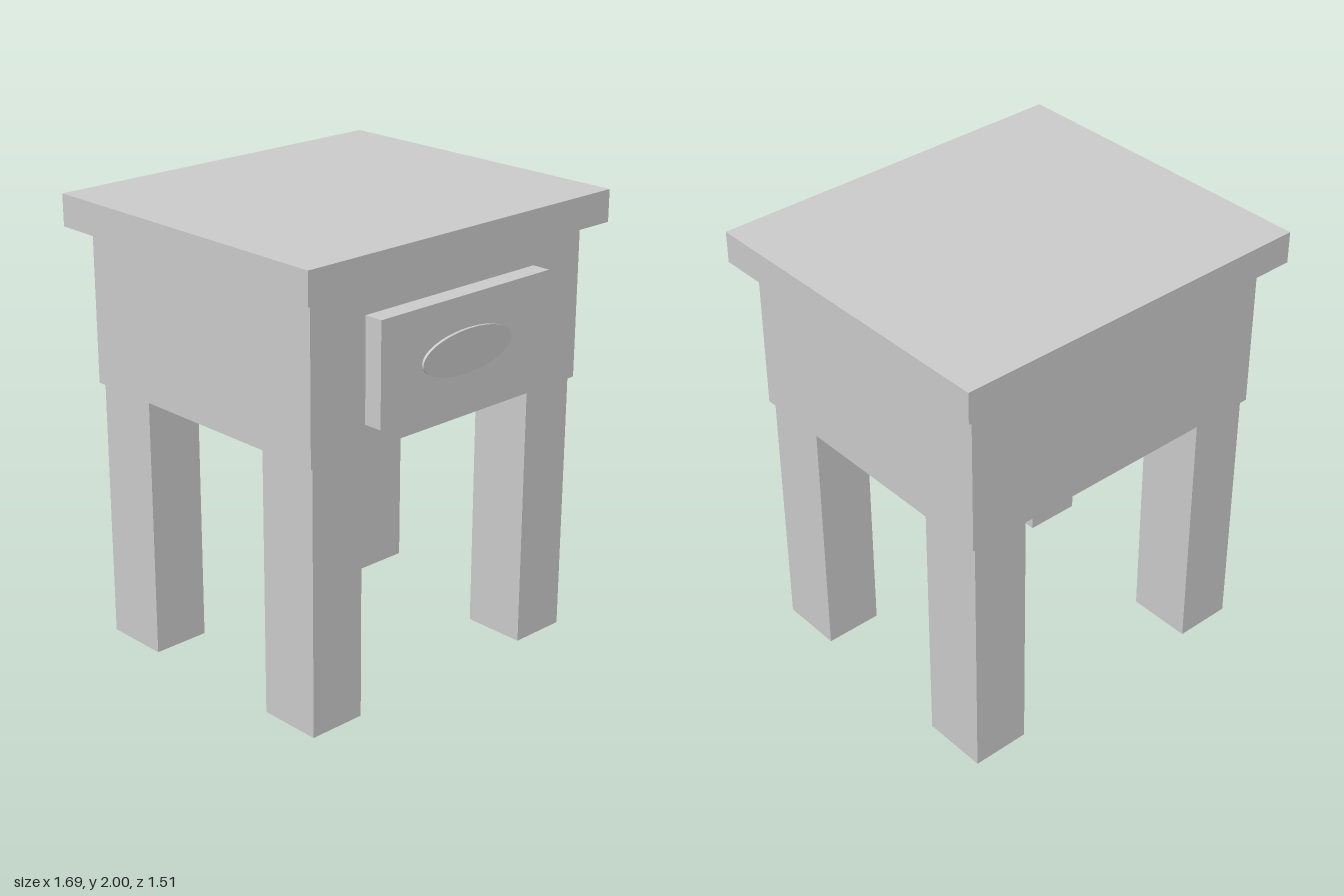
import * as THREE from 'three';

const material = new THREE.MeshStandardMaterial({ color: 0xcccccc });

// Box given by its lower and upper limits on each axis
function box(name, [x0, x1], [y0, y1], [z0, z1]) {
  const mesh = new THREE.Mesh(new THREE.BoxGeometry(x1 - x0, y1 - y0, z1 - z0), material);
  mesh.position.set((x0 + x1) / 2, (y0 + y1) / 2, (z0 + z1) / 2);
  mesh.name = name;
  return mesh;
}

export function createModel() {
  const table = new THREE.Group();
  table.name = 'bedsideTable';

  // Overhanging top, body and raised drawer front
  table.add(box('tableTop', [-0.845, 0.845], [1.86, 2], [-0.755, 0.738]));
  table.add(box('body', [-0.762, 0.762], [1.175, 1.86], [-0.672, 0.657]));
  table.add(box('drawerFront', [-0.477, 0.477], [1.285, 1.73], [0.657, 0.742]));

  // Four square legs
  for (const [side, xs] of [['Left', [0.48, 0.742]], ['Right', [-0.742, -0.48]]]) {
    table.add(box('front' + side + 'Leg', xs, [0, 1.175], [0.355, 0.643]));
    table.add(box('back' + side + 'Leg', xs, [0, 1.175], [-0.658, -0.36]));
  }

  // Thin oval handle plate, tipped slightly so its upper edge stands proud
  const plate = new THREE.CylinderGeometry(1, 1, 0.03, 48);
  plate.rotateX(Math.PI / 2);
  plate.scale(0.255, 0.095, 1);
  plate.translate(0, 0, -0.015);
  plate.rotateX(0.05);
  plate.rotateY(0.009);
  const handle = new THREE.Mesh(plate, material);
  handle.position.set(0, 1.497, 0.749);
  handle.name = 'drawerHandle';
  table.add(handle);

  return table;
}
